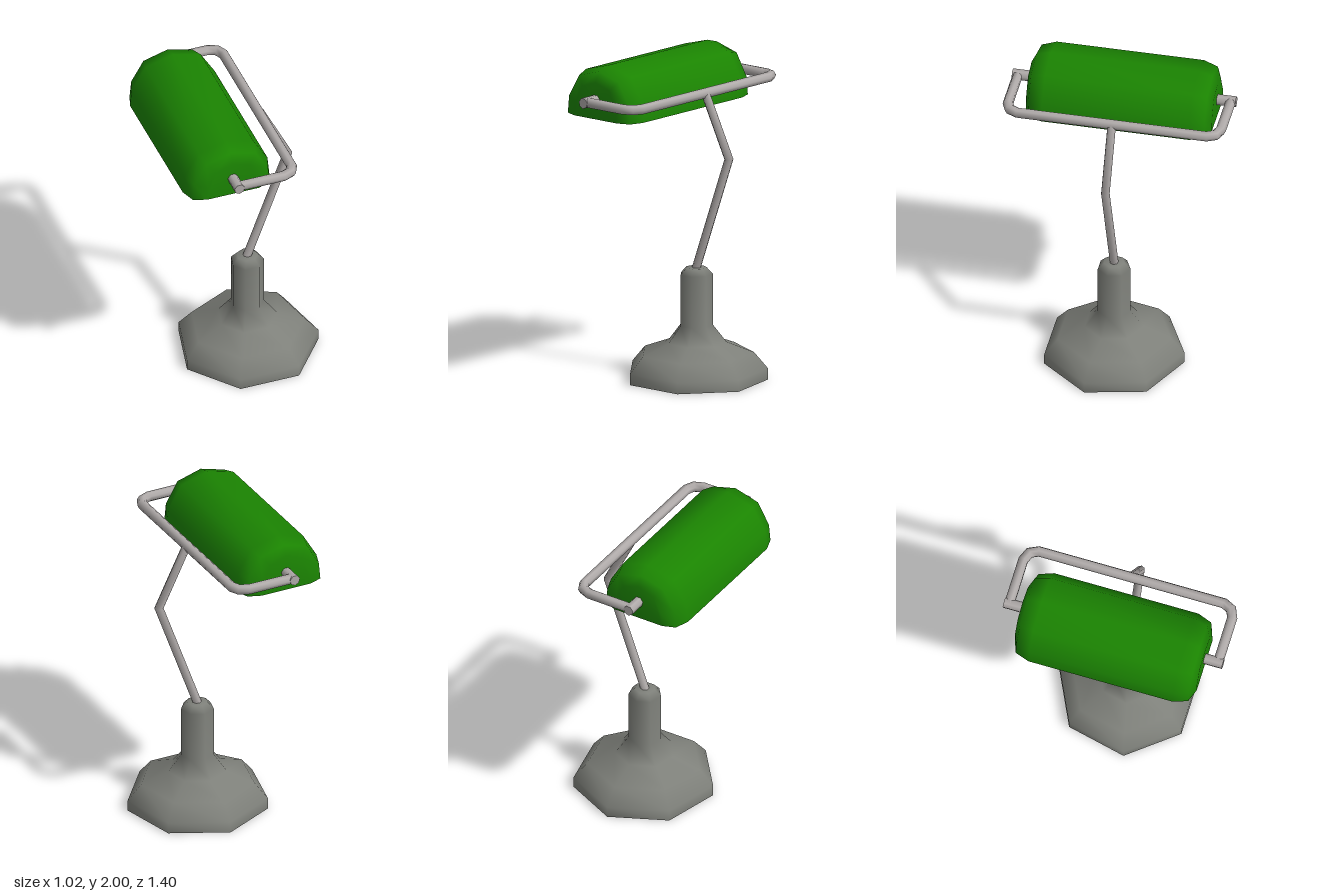
import * as THREE from 'three';

function flat(name, color) {
  const material = new THREE.MeshStandardMaterial({ color });
  material.name = name;
  return material;
}
const green = flat('greenShade', 0x1b8402);
const baseGrey = flat('baseGrey', 0x7e807a);
const metal = flat('lightMetal', 0xb0abaa);
const bulbGrey = flat('bulbGrey', 0x6e6b67);

const SIDES = 7;
const CENTRE_X = -0.23;
const BAR_Y = 1.8;

function part(name, geometry, material) {
  const mesh = new THREE.Mesh(geometry, material);
  mesh.name = name;
  return mesh;
}

function indexed(positions, index) {
  const g = new THREE.BufferGeometry();
  g.setAttribute('position', new THREE.Float32BufferAttribute(positions, 3));
  g.setIndex(index);
  g.computeVertexNormals();
  return g;
}

// Mitred rod along a flat path; planeNormal is perpendicular to that path
function rod(path, radius, planeNormal) {
  const pts = path.map((p) => new THREE.Vector3(...p));
  const positions = [], index = [];
  pts.forEach((p, i) => {
    const before = p.clone().sub(pts[i - 1] ?? p).normalize();
    const after = (pts[i + 1] ?? p).clone().sub(p).normalize();
    const t = before.clone().add(after).normalize();
    const stretch = 1 / Math.max(t.dot(before), t.dot(after));
    const side = t.clone().cross(planeNormal).multiplyScalar(stretch);
    for (let k = 0; k < SIDES; k++) {
      const a = (k / SIDES) * Math.PI * 2;
      const v = p.clone()
        .addScaledVector(side, Math.cos(a) * radius)
        .addScaledVector(planeNormal, Math.sin(a) * radius);
      positions.push(v.x, v.y, v.z);
      if (i < pts.length - 1) {
        const q = i * SIDES + k, r = i * SIDES + (k + 1) % SIDES;
        index.push(q, q + SIDES, r, r, q + SIDES, r + SIDES);
      }
    }
  });
  return indexed(positions, index);
}

// Shade cross-section: x offset from centre, height above the rim
const HALF_WIDTH = 0.282;
const SHADE_PROFILE = [
  [-HALF_WIDTH, 0], [-0.27, 0.12], [-0.18, 0.27], [0, 0.32],
  [0.18, 0.27], [0.27, 0.12], [HALF_WIDTH, 0],
];
// Shade stations: z, width scale, height scale
const HALF = [[0.46, 1, 1], [0.55, 0.89, 0.92], [0.58, 0.6, 0.72]];
const STATIONS = [...HALF.map(([z, w, h]) => [-z, w, h]).reverse(), ...HALF];
const RIM_Y = 1.68;

// Open-bottomed shell; the inner one faces inward
function shadeShell(sx, sy, sz, inward) {
  const positions = [], index = [], n = SHADE_PROFILE.length;
  const tri = (a, b, c) => index.push(a, inward ? c : b, inward ? b : c);
  STATIONS.forEach(([z, w, h], i) => SHADE_PROFILE.forEach(([x, y], j) => {
    positions.push(CENTRE_X + x * w * sx, RIM_Y + y * h * sy, z * sz);
    if (i < STATIONS.length - 1 && j < n - 1) {
      const a = i * n + j;
      tri(a, a + n, a + 1);
      tri(a + 1, a + n, a + n + 1);
    }
  }));
  const last = (STATIONS.length - 1) * n;
  for (let k = 1; k < n - 1; k++) {
    tri(0, k, k + 1);
    tri(last, last + k + 1, last + k);
  }
  return indexed(positions, index);
}

// Flat lip joining the two shells
function shadeRim(sx, sz) {
  const edge = (sign, kx, kz) => STATIONS.map(([z, w]) =>
    new THREE.Vector2(CENTRE_X + sign * HALF_WIDTH * w * kx, z * kz));
  const outline = (kx, kz) => [...edge(1, kx, kz), ...edge(-1, kx, kz).reverse()];
  const shape = new THREE.Shape(outline(1, 1));
  shape.holes.push(new THREE.Path(outline(sx, sz)));
  return new THREE.ShapeGeometry(shape).rotateX(Math.PI / 2).translate(0, RIM_Y, 0);
}

export function createModel() {
  const lamp = new THREE.Group();
  lamp.name = 'deskLamp';

  // Seven-sided foot and neck, with a corner pointing straight back
  const base = new THREE.Group();
  base.name = 'base';
  base.position.x = 0.08;
  const profile = [
    [0.44, 0], [0.44, 0.07], [0.355, 0.17], [0.185, 0.235],
    [0.103, 0.34], [0.103, 0.66], [0.065, 0.7], [0, 0.7],
  ].map(([r, y]) => new THREE.Vector2(r, y));
  base.add(part('foot', new THREE.LatheGeometry(profile, SIDES, Math.PI), baseGrey));
  const underside = new THREE.CircleGeometry(0.44, SIDES, -Math.PI / 2).rotateX(Math.PI / 2);
  base.add(part('underside', underside, baseGrey));
  lamp.add(base);

  // Bent arm
  lamp.add(part('arm', rod(
    [[0.068, 0.66, 0], [0.345, 1.415, 0], [0.155, BAR_Y, 0]],
    0.027, new THREE.Vector3(0, 0, 1)), metal));

  // Frame around the shade
  const halfFrame = [[CENTRE_X, 0.665], [0.07, 0.665], [0.125, 0.642], [0.15, 0.59]];
  const framePath = [
    ...halfFrame.map(([x, z]) => [x, BAR_Y, z]),
    ...halfFrame.map(([x, z]) => [x, BAR_Y, -z]).reverse(),
  ];
  lamp.add(part('frame', rod(framePath, 0.032, new THREE.Vector3(0, 1, 0)), metal));

  // Pivots at both ends of the shade
  for (const s of [1, -1]) {
    const pivot = new THREE.CylinderGeometry(0.034, 0.034, 0.22, SIDES).rotateX(Math.PI / 2);
    pivot.translate(CENTRE_X, BAR_Y, s * 0.588);
    lamp.add(part(s > 0 ? 'frontPivot' : 'backPivot', pivot, metal));
  }

  // Long tube bulb inside the shade
  const bulb = new THREE.CylinderGeometry(0.073, 0.073, 0.96, 8).rotateX(Math.PI / 2);
  lamp.add(part('bulb', bulb.translate(CENTRE_X, BAR_Y, 0), bulbGrey));

  // Hollow shade
  const shade = new THREE.Group();
  shade.name = 'shade';
  shade.add(part('shadeOuter', shadeShell(1, 1, 1, false), green));
  shade.add(part('shadeInner', shadeShell(0.93, 0.93, 0.965, true), green));
  shade.add(part('shadeRim', shadeRim(0.93, 0.965), green));
  lamp.add(shade);

  return lamp;
}
